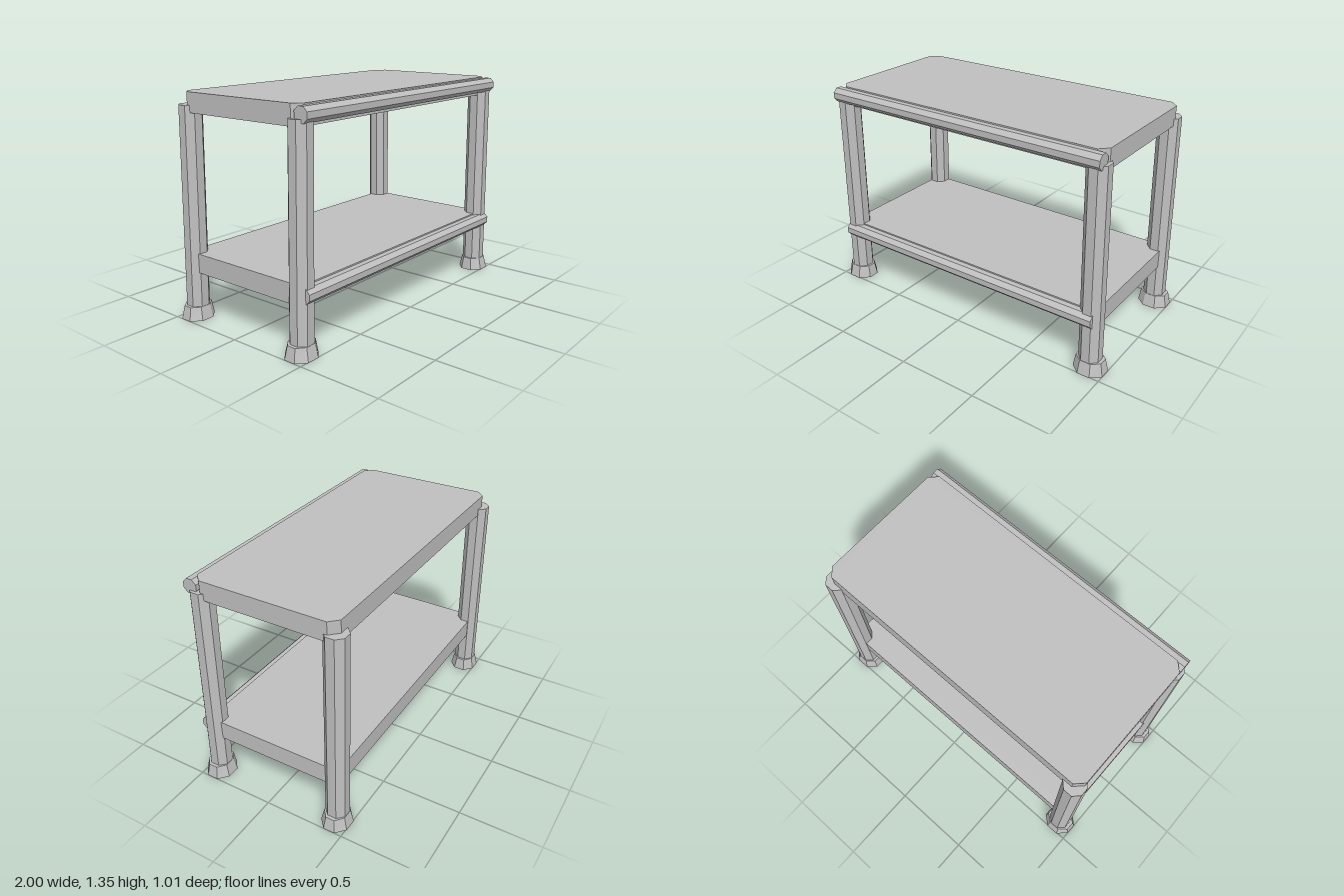
import * as THREE from 'three';

const OCT = Math.cos(Math.PI / 8);

// Octagonal column between two sections given as { x, y, z, hx, hz }, flats facing the axes
function octColumn(bottom, top) {
  const geo = new THREE.CylinderGeometry(1 / OCT, 1 / OCT, 1, 8);
  geo.rotateY(Math.PI / 8);
  const p = geo.attributes.position;
  for (let i = 0; i < p.count; i++) {
    const s = p.getY(i) > 0 ? top : bottom;
    p.setXYZ(i, s.x + p.getX(i) * s.hx, s.y, s.z + p.getZ(i) * s.hz);
  }
  geo.computeVertexNormals();
  return geo;
}

// Flat board with clipped corners, lying on height y
function boardGeometry(hx, hz, clip, thickness, y) {
  const shape = new THREE.Shape([
    [hx, -hz + clip], [hx, hz - clip], [hx - clip, hz], [-hx + clip, hz],
    [-hx, hz - clip], [-hx, -hz + clip], [-hx + clip, -hz], [hx - clip, -hz],
  ].map(([a, b]) => new THREE.Vector2(a, b)));
  const geo = new THREE.ExtrudeGeometry(shape, { depth: thickness, bevelEnabled: false });
  geo.rotateX(-Math.PI / 2);
  geo.translate(0, y, 0);
  return geo;
}

export function createModel() {
  const model = new THREE.Group();
  model.name = 'twoTierBench';
  const grey = new THREE.MeshStandardMaterial({ color: 0xc0c0c0, flatShading: true });
  grey.name = 'grey';

  const add = (name, geo) => {
    const mesh = new THREE.Mesh(geo, grey);
    mesh.name = name;
    model.add(mesh);
  };

  // Top and lower shelf
  add('topBoard', boardGeometry(0.93, 0.445, 0.05, 0.117, 1.23));
  add('lowerShelf', boardGeometry(0.93, 0.445, 0.05, 0.117, 0.29));

  // Slightly splayed legs with flared feet
  for (const sx of [-1, 1]) {
    for (const sz of [-1, 1]) {
      const place = (sz > 0 ? 'front' : 'back') + (sx > 0 ? 'Left' : 'Right');
      const z = sz * 0.42;
      add(place + 'Leg', octColumn(
        { x: sx * 0.901, y: 0.06, z, hx: 0.064, hz: 0.065 },
        { x: sx * 0.885, y: 1.272, z, hx: 0.064, hz: 0.065 }));
      add(place + 'Foot', octColumn(
        { x: sx * 0.905, y: 0, z, hx: 0.095, hz: 0.085 },
        { x: sx * 0.903, y: 0.08, z, hx: 0.081, hz: 0.067 }));
    }
  }

  // Octagonal rails along the front
  for (const [name, y] of [['topFrontRail', 1.295], ['lowerFrontRail', 0.355]]) {
    const rail = new THREE.CylinderGeometry(0.0435 / OCT, 0.0435 / OCT, 1.86, 8);
    rail.rotateY(Math.PI / 8);
    rail.rotateZ(Math.PI / 2);
    rail.translate(0, y, 0.4615);
    add(name, rail);
  }

  return model;
}
